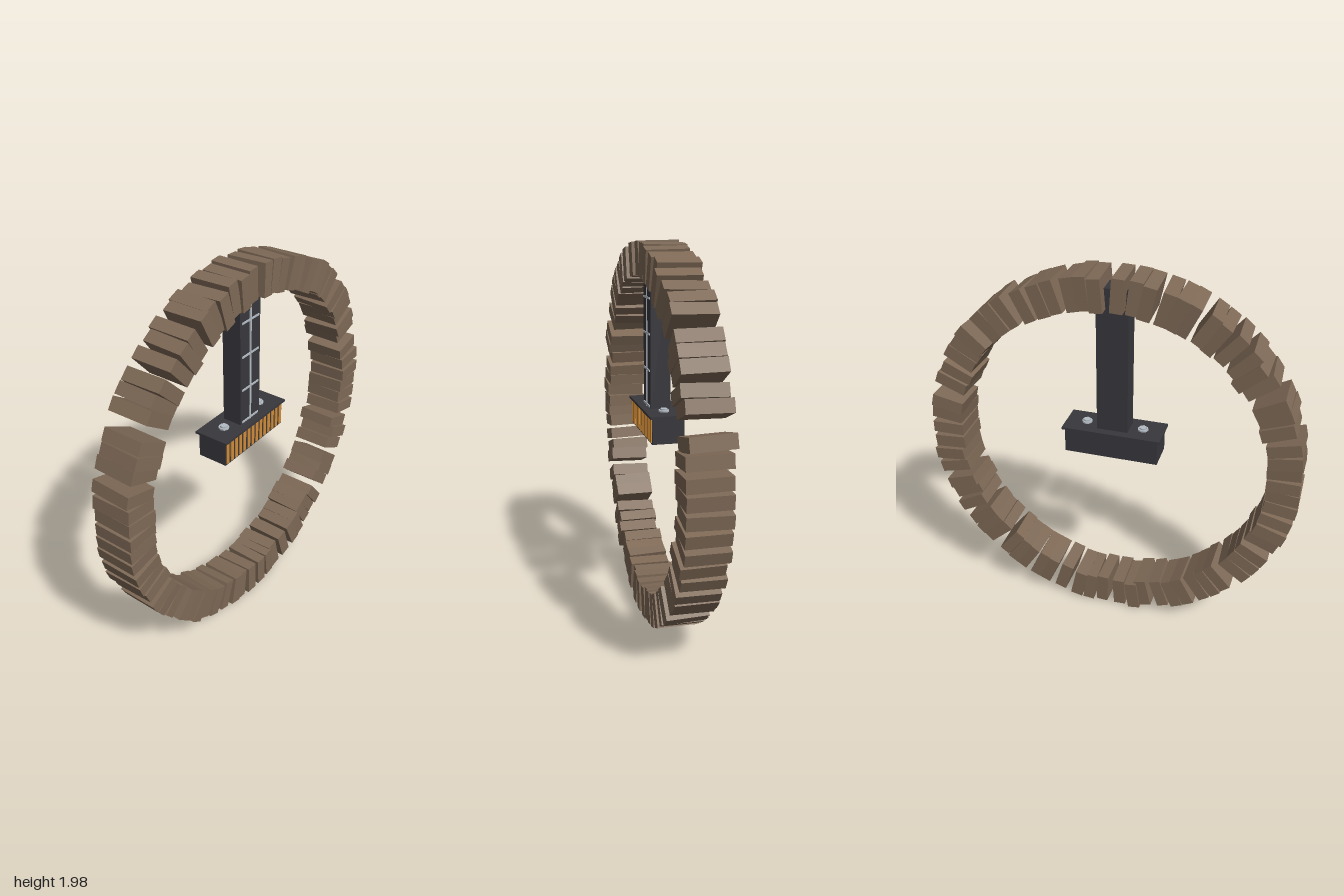
import * as THREE from 'three';

const mat = (name, color) => Object.assign(new THREE.MeshStandardMaterial({ color }), { name });
const stone = mat('brown stone', 0x7e6956);
const dark = mat('dark metal', 0x38373d);
const amber = mat('amber', 0xd08c38);
const pale = mat('pale metal', 0xb4bcc4);

// Clockwise angle of each block from the top, in degrees
const ANGLES = [
  4, 8, 11.7, 18, 22, 28, 35, 39, 43, 51, 55, 59, 65, 69, 78, 82.5, 88, 93, 98, 103, 109.5, 113.5, 118.5,
  125, 129, 133, 140, 144, 148, 153, 157, 163, 169, 173, 178, 184, 189, 193, 199, 204, 208.5, 214, 218.5,
  223, 231, 235.5, 240, 247, 251, 256, 261.5, 266, 270, 275, 279, 283.5, 290, 294, 298, 306, 310, 314,
  320, 325, 329, 335, 338.5, 342.5, 348, 352, 357,
];

let seed = 11;
const jitter = (amount) => {
  seed = (seed * 16807) % 2147483647;
  return (seed / 2147483647 * 2 - 1) * amount;
};

function add(parent, name, geometry, material, x, y, z) {
  const mesh = new THREE.Mesh(geometry, material);
  mesh.name = name;
  mesh.position.set(x, y, z);
  parent.add(mesh);
  return mesh;
}
const box = (parent, name, material, w, h, d, x, y, z) =>
  add(parent, name, new THREE.BoxGeometry(w, h, d), material, x, y, z);

function makeRing() {
  const ring = new THREE.Group();
  ring.name = 'stoneRing';
  for (const degrees of ANGLES) {
    const a = THREE.MathUtils.degToRad(degrees);
    const r = 0.905 + jitter(0.008);
    const block = box(ring, 'ringBlock', stone, 0.065 + jitter(0.003), 0.168, 0.214,
      Math.sin(a) * r, 1 + Math.cos(a) * r, jitter(0.01));
    block.rotation.set(jitter(0.03), jitter(0.04), -a + jitter(0.03));
  }
  return ring;
}

function makeHangingUnit() {
  const unit = new THREE.Group();
  unit.name = 'hangingUnit';
  const cx = -0.01;

  // Column with a pale grid on its front
  box(unit, 'column', dark, 0.162, 0.775, 0.105, cx, 1.5275, 0);
  box(unit, 'columnCentreLine', pale, 0.011, 0.74, 0.006, cx, 1.52, 0.054);
  for (const y of [1.16, 1.345, 1.53, 1.71, 1.89])
    box(unit, 'columnCrossLine', pale, 0.135, 0.01, 0.006, cx, y, 0.054);

  // Head with overhanging cap and amber slats
  box(unit, 'head', dark, 0.492, 0.135, 0.165, cx, 1.0725, 0);
  box(unit, 'headCap', dark, 0.518, 0.012, 0.19, cx, 1.144, 0);
  for (let i = 0; i < 14; i++)
    box(unit, 'headSlat', amber, 0.02, 0.12, 0.006, cx + (i - 6.5) * 0.0352, 1.073, 0.084);

  // Two stepped bolts on the cap
  for (const side of [-1, 1]) {
    const x = cx + side * 0.15;
    add(unit, 'boltBase', new THREE.CylinderGeometry(0.028, 0.028, 0.009, 8), pale, x, 1.154, 0);
    add(unit, 'boltHead', new THREE.CylinderGeometry(0.02, 0.02, 0.009, 6), pale, x, 1.162, 0);
  }

  // Small outlet underneath
  box(unit, 'outletBase', dark, 0.15, 0.022, 0.065, cx, 0.996, 0);
  box(unit, 'outlet', dark, 0.12, 0.022, 0.05, cx, 0.976, 0);
  for (let i = 0; i < 4; i++)
    box(unit, 'outletLight', amber, 0.027, 0.02, 0.006, cx + (i - 1.5) * 0.03, 0.976, 0.026);
  return unit;
}

export function createModel() {
  const model = new THREE.Group();
  model.name = 'ringWithHangingUnit';
  model.add(makeRing(), makeHangingUnit());
  return model;
}
